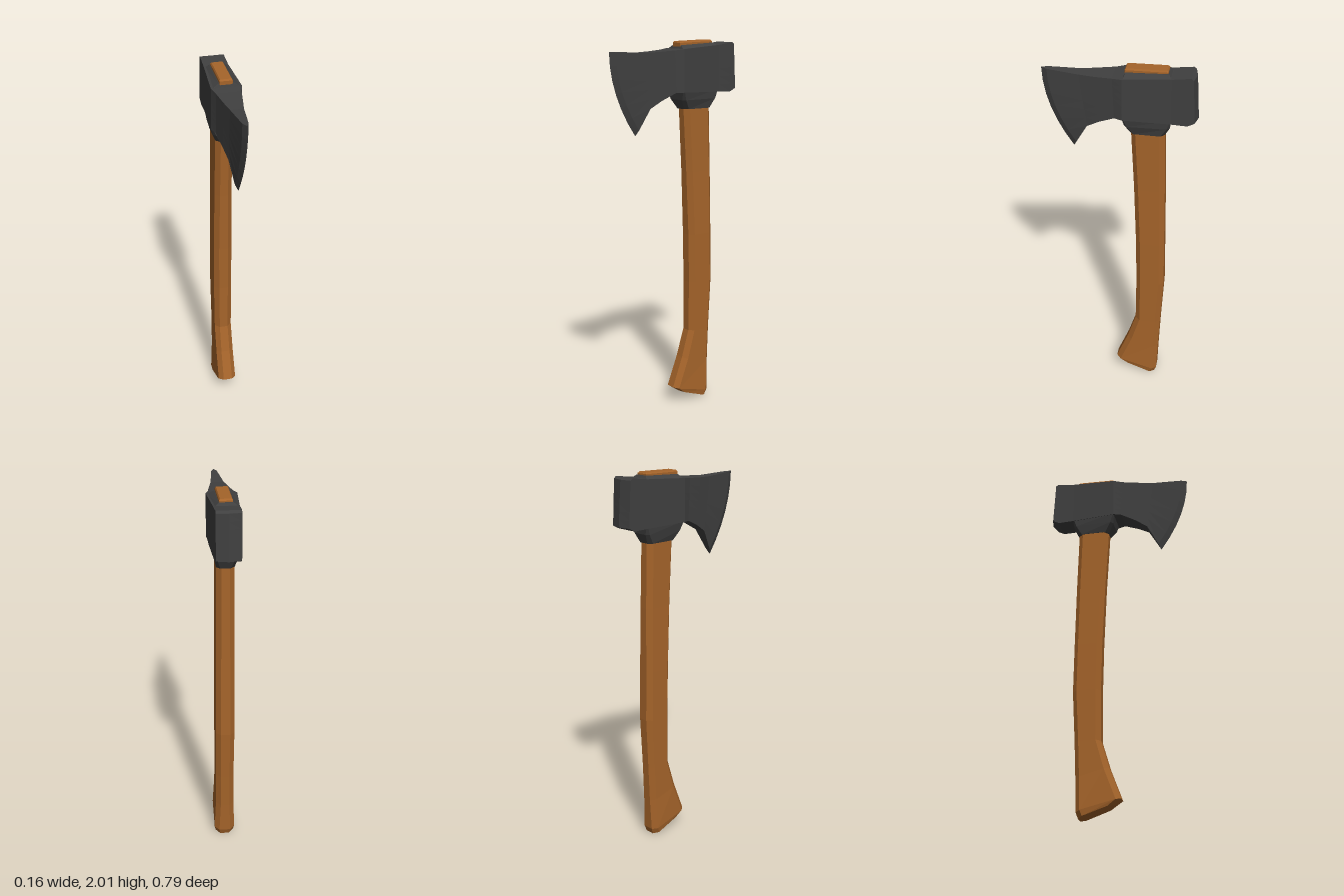
import * as THREE from 'three';

// Skin a list of equal-length rings; each ring runs counterclockwise seen from the loft direction.
function loft(rings, capped = true) {
  const n = rings[0].length;
  const pos = rings.flat(2);
  const index = [];
  for (let i = 0; i < rings.length - 1; i++) {
    for (let j = 0; j < n; j++) {
      const k = (j + 1) % n;
      const a = i * n + j, b = i * n + k, c = a + n, d = b + n;
      index.push(a, b, d, a, d, c);
    }
  }
  if (capped) {
    const last = (rings.length - 1) * n;
    for (let j = 1; j < n - 1; j++) {
      index.push(0, j + 1, j);
      index.push(last, last + j, last + j + 1);
    }
  }
  const geo = new THREE.BufferGeometry();
  geo.setAttribute('position', new THREE.Float32BufferAttribute(pos, 3));
  geo.setIndex(index);
  const flat = geo.toNonIndexed();
  flat.computeVertexNormals();
  return flat;
}

// Chamfered rectangle lying across y; front and back may differ in height and half width.
function octagon({ yf, yb = yf, zf, zb, w, wb = w, c = 0.025 }) {
  const point = (x, z) => [x, yb + (yf - yb) * (z - zb) / (zf - zb), z];
  const f = w - c, b = wb - c;
  return [
    point(w, zf - c), point(wb, zb + c), point(b, zb), point(-b, zb),
    point(-wb, zb + c), point(-w, zf - c), point(-f, zf), point(f, zf),
  ];
}

// Upright slice of the head from its bottom to its top, bowed forward by bulge.
function slice([zt, yt, zb, yb, w, bulge = 0]) {
  const rows = 6, right = [];
  for (let i = 0; i <= rows; i++) {
    const t = i / rows;
    right.push([w, yb + (yt - yb) * t, zb + (zt - zb) * t + bulge * 4 * t * (1 - t)]);
  }
  const left = right.map(([x, y, z]) => [-x, y, z]).reverse();
  return [...right, ...left];
}

export function createModel() {
  const group = new THREE.Group();
  const wood = new THREE.MeshStandardMaterial({ color: 0xa5642a, flatShading: true });
  const steel = new THREE.MeshStandardMaterial({ color: 0x404040, flatShading: true });
  const add = (name, geometry, material) => {
    const mesh = new THREE.Mesh(geometry, material);
    mesh.name = name;
    group.add(mesh);
  };

  // Curved handle with a flared, slanted foot
  add('handle', loft([
    { yf: 0.055, yb: -0.008, zf: -0.03, zb: -0.21, w: 0.046, wb: 0.05 },
    { yf: 0.085, yb: 0.025, zf: 0.013, zb: -0.222, w: 0.05, wb: 0.056 },
    { yf: 0.25, yb: 0.2, zf: -0.05, zb: -0.228, w: 0.049 },
    { yf: 0.4, zf: -0.095, zb: -0.236, w: 0.048 },
    { yf: 0.68, zf: -0.097, zb: -0.25, w: 0.05 },
    { yf: 0.95, zf: -0.092, zb: -0.246, w: 0.05 },
    { yf: 1.3, zf: -0.078, zb: -0.24, w: 0.047 },
    { yf: 1.68, zf: -0.057, zb: -0.23, w: 0.045 },
  ].map(octagon)), wood);

  // Head from the ridge of the poll to the cutting edge: zTop, yTop, zBottom, yBottom, half width, bulge
  add('head', loft([
    [-0.38, 1.975, -0.395, 1.74, 0],
    [-0.368, 1.975, -0.38, 1.74, 0.063],
    [-0.355, 1.985, -0.345, 1.722, 0.063],
    [-0.26, 1.972, -0.262, 1.725, 0.064],
    [-0.02, 1.957, -0.02, 1.732, 0.079],
    [0.03, 1.951, 0.02, 1.732, 0.064],
    [0.12, 1.945, 0.1, 1.695, 0.049],
    [0.2, 1.942, 0.165, 1.655, 0.034],
    [0.365, 1.949, 0.225, 1.545, 0.015, 0.034],
    [0.395, 1.95, 0.24, 1.515, 0, 0.038],
  ].map(slice), false), steel);

  // Tapered collar under the eye
  add('lowerCollar', loft([
    { yf: 1.64, zf: -0.055, zb: -0.232, w: 0.047, c: 0.02 },
    { yf: 1.69, zf: -0.028, zb: -0.257, w: 0.066, wb: 0.058, c: 0.015 },
    { yf: 1.74, zf: -0.018, zb: -0.265, w: 0.078, wb: 0.063, c: 0.006 },
  ].map(octagon)), steel);

  // Sloped rim around the eye on top
  add('upperCollar', loft([
    { yf: 1.95, yb: 1.965, zf: -0.02, zb: -0.26, w: 0.078, wb: 0.063, c: 0.003 },
    { yf: 1.975, yb: 1.985, zf: -0.03, zb: -0.245, w: 0.037, c: 0.002 },
  ].map(octagon)), steel);

  // End of the handle standing out of the eye
  add('handleTop', loft([
    { yf: 1.94, zf: -0.027, zb: -0.241, w: 0.034, c: 0.002 },
    { yf: 1.987, yb: 1.992, zf: -0.027, zb: -0.241, w: 0.034, c: 0.002 },
    { yf: 1.995, yb: 2.0, zf: -0.033, zb: -0.234, w: 0.029, c: 0.002 },
  ].map(octagon)), wood);

  return group;
}
